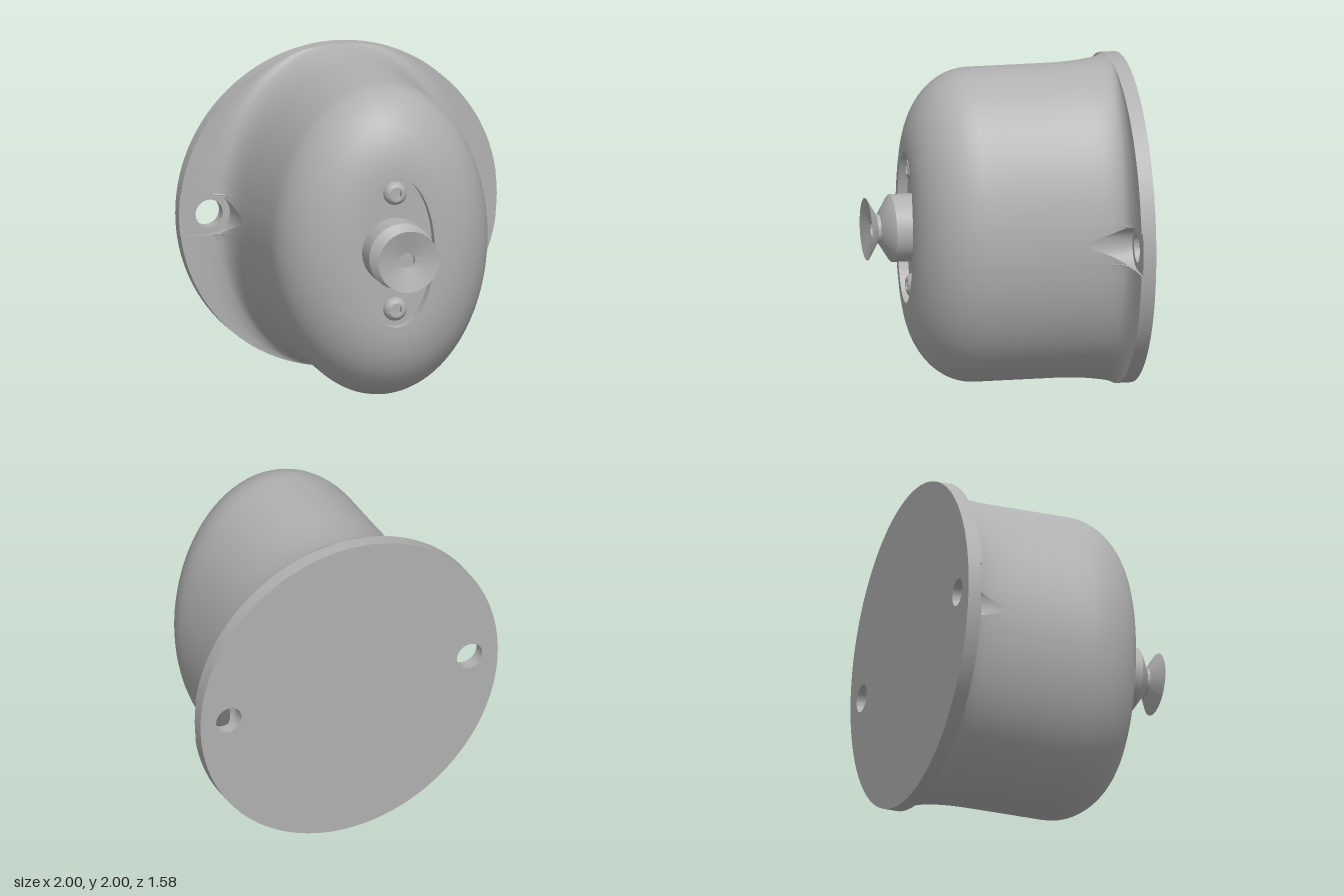
import * as THREE from 'three';
import { toCreasedNormals } from 'three/addons/utils/BufferGeometryUtils.js';

const CY = 1;              // height of the main axis
const SLOT = 0.13;         // half width of the slots around the mounting holes
const HOLE_X = 0.81;
const FLOOR = -0.71;       // slot floor = front of the mounting plate
const RECESS = 0.49;       // floor of the oval recess

export function createModel() {
  const group = new THREE.Group();
  const grey = new THREE.MeshStandardMaterial({ color: 0xb0b0b0, side: THREE.DoubleSide });
  grey.name = 'grey';

  const add = (name, geo, y = CY, x = 0, z = 0) => {
    const mesh = new THREE.Mesh(toCreasedNormals(geo, 0.55), grey);
    mesh.name = name;
    mesh.position.set(x, y, z);
    group.add(mesh);
    return mesh;
  };
  const lathe = (pts, seg) =>
    new THREE.LatheGeometry(pts.map(p => new THREE.Vector2(...p)), seg).rotateX(Math.PI / 2);

  // Mounting plate with two through holes
  const disc = new THREE.Shape().absarc(0, 0, 1, 0, Math.PI * 2);
  for (const s of [-1, 1]) disc.holes.push(new THREE.Path().absarc(s * HOLE_X, 0, 0.085, 0, Math.PI * 2, true));
  add('mountingPlate', new THREE.ExtrudeGeometry(disc, { depth: 0.08, bevelEnabled: false, curveSegments: 64 }), CY, 0, -0.79);

  // Housing sections as (x radius, y radius, z): recess wall and rounded front
  const front = [new THREE.Vector3(0.235, 0.465, RECESS)];
  for (let i = 0; i <= 14; i++) {
    const a = (i / 14) * Math.PI / 2;
    front.push(new THREE.Vector3(0.235 + 0.435 * Math.sin(a), 0.465 + 0.5 * Math.sin(a), 0.15 + 0.4 * Math.cos(a)));
  }
  // Flare from the oval body to the round plate
  const flare = new THREE.CatmullRomCurve3([
    [0.67, 0.965, 0.15], [0.67, 0.965, -0.2], [0.678, 0.966, -0.42], [0.693, 0.974, -0.54], [0.715, 0.983, -0.61],
    [0.755, 0.991, -0.662], [0.83, 0.997, -0.688], [0.91, 1, -0.697], [1, 1, -0.7],
  ].map(p => new THREE.Vector3(...p)));
  const at = (v, a, z = v.z) => new THREE.Vector3(v.x * Math.cos(a), v.y * Math.sin(a), z);
  const ROWS = 28;

  // Where the flare meets the rounded inner end of a slot
  const slotCut = a => {
    const y = Math.min(Math.abs(Math.sin(a)), SLOT);
    const x = HOLE_X - Math.sqrt(SLOT * SLOT - y * y);
    let lo = 0, hi = 1;
    for (let i = 0; i < 30; i++) {
      const m = (lo + hi) / 2;
      if (flare.getPoint(m).x * Math.abs(Math.cos(a)) < x) lo = m; else hi = m;
    }
    return lo;
  };
  const column = (a, slotted) => {
    const end = slotted ? slotCut(a) : 1;
    const col = front.map(v => at(v, a));
    for (let i = 1; i <= ROWS; i++) col.push(at(flare.getPoint(end * i / ROWS), a));
    col.push(at(flare.getPoint(end), a, FLOOR));
    return col;
  };

  const verts = [];
  const tri = (...ps) => ps.forEach(p => verts.push(p.x, p.y, p.z));
  const skin = cols => {
    for (let i = 0; i + 1 < cols.length; i++) {
      for (let j = 0; j + 1 < cols[i].length; j++) {
        const a = cols[i][j], b = cols[i][j + 1], c = cols[i + 1][j], d = cols[i + 1][j + 1];
        tri(a, b, c);
        tri(b, d, c);
      }
    }
  };
  const sector = (from, to, n, slotted) =>
    skin(Array.from({ length: n + 1 }, (_, i) => column(from + (to - from) * i / n, slotted)));

  const alpha = Math.asin(SLOT);
  for (const start of [0, Math.PI]) {
    sector(start - alpha, start + alpha, 20, true);
    sector(start + alpha, start + Math.PI - alpha, 60, false);
    // Straight side walls of the slot
    for (const side of [-1, 1]) {
      const a = start + side * alpha, s0 = slotCut(a), wall = [];
      for (let i = 0; i <= 10; i++) {
        const v = flare.getPoint(s0 + (1 - s0) * i / 10);
        wall.push([at(v, a), at(v, a, FLOOR)]);
      }
      skin(side > 0 ? wall : wall.reverse());
    }
  }
  const body = new THREE.BufferGeometry();
  body.setAttribute('position', new THREE.Float32BufferAttribute(verts, 3));
  add('housing', body);

  // Oval recess floor
  add('recessFloor', new THREE.CircleGeometry(1, 96).scale(0.235, 0.465, 1), CY, 0, RECESS);

  // Knob: collar, waist and hollow flared end
  add('knob', lathe([
    [0.205, RECESS], [0.205, 0.64], [0.195, 0.65], [0.1, 0.71], [0.09, 0.712], [0.09, 0.732],
    [0.1, 0.736], [0.19, 0.79], [0.05, 0.752], [0.05, 0.72], [0, 0.72],
  ], 64));

  // Round-headed screws with hexagonal sockets
  const crown = new THREE.Shape().absarc(0, 0, 0.045, 0, Math.PI * 2);
  const hex = new THREE.Path();
  hex.setFromPoints(Array.from({ length: 7 }, (_, i) => {
    const a = Math.PI / 2 - i * Math.PI / 3;
    return new THREE.Vector2(0.034 * Math.cos(a), 0.034 * Math.sin(a));
  }));
  crown.holes.push(hex);
  for (const s of [-1, 1]) {
    const y = CY + s * 0.36;
    add('screwHead', lathe([[0.072, 0], [0.072, 0.012], [0.067, 0.03], [0.058, 0.042], [0.045, 0.05]], 40), y, 0, RECESS);
    add('screwSocket', new THREE.ExtrudeGeometry(crown, { depth: 0.035, bevelEnabled: false, curveSegments: 20 }), y, 0, RECESS + 0.015);
    add('socketFloor', new THREE.CircleGeometry(0.04, 24), y, 0, RECESS + 0.016);
  }
  return group;
}
